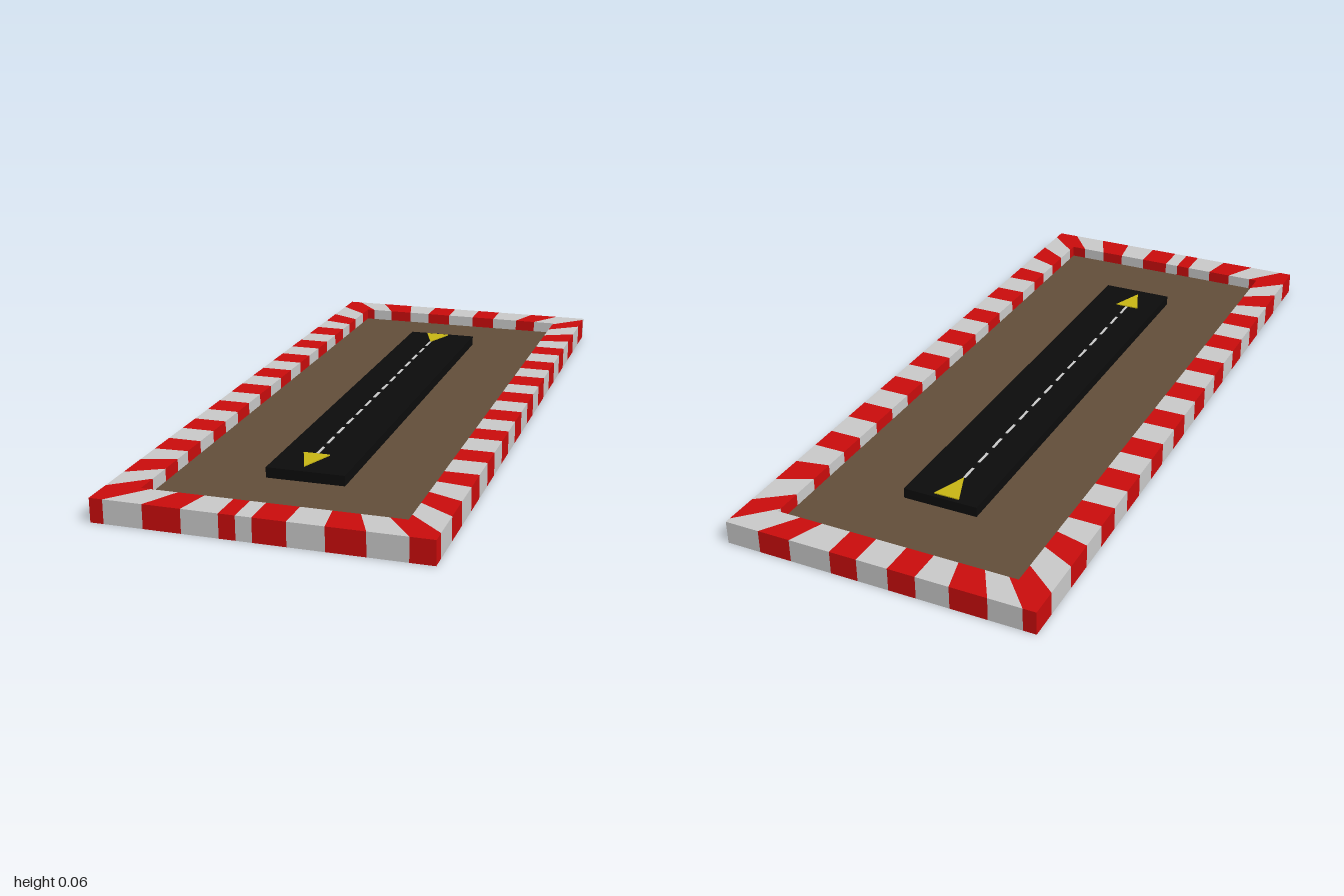
import * as THREE from 'three';

const W = 0.425, L = 1, IN_W = 0.335, IN_L = 0.907, H = 0.063;
const GROUND = 0.03, ROAD = 0.058;

const material = (name, color, side = THREE.FrontSide) => {
  const m = new THREE.MeshStandardMaterial({ color, side });
  m.name = name;
  return m;
};

// One striped kerb side: local x runs along it, +z points outward
function kerbGeometry(spans, half, innerHalf, depth, innerDepth, knot) {
  // stripes run straight in the middle and fan out to the mitred corners
  const inner = u => Math.abs(u) <= knot ? u
    : Math.sign(u) * (knot + (Math.abs(u) - knot) * (innerHalf - knot) / (half - knot));
  const pos = [];
  const quad = (a, b, c, d) => pos.push(...a, ...b, ...c, ...a, ...c, ...d);
  for (const [u0, u1] of spans) {
    const cuts = [u0, ...[-knot, knot].filter(k => k > u0 && k < u1), u1];
    for (let i = 0; i + 1 < cuts.length; i++) {
      const [a, b] = [cuts[i], cuts[i + 1]];
      const ring = y => [[a, y, depth], [b, y, depth], [inner(b), y, innerDepth], [inner(a), y, innerDepth]];
      const t = ring(H), f = ring(0);
      quad(t[0], t[1], t[2], t[3]);
      quad(f[3], f[2], f[1], f[0]);
      quad(f[0], f[1], t[1], t[0]);
      quad(f[2], f[3], t[3], t[2]);
    }
  }
  const g = new THREE.BufferGeometry();
  g.setAttribute('position', new THREE.Float32BufferAttribute(pos, 3));
  g.computeVertexNormals();
  return g;
}

// Spans left over between the red stripes
function gaps(reds, half) {
  const out = [];
  let u = -half;
  for (const [a, b] of reds) {
    if (a - u > 1e-4) out.push([u, a]);
    u = b;
  }
  if (half - u > 1e-4) out.push([u, half]);
  return out;
}

export function createModel() {
  const model = new THREE.Group();
  const red = material('kerbRed', 0xcb0c0c);
  const grey = material('lightGrey', 0xcacaca);
  const brown = material('earthBrown', 0x634e3a);
  const black = material('asphaltBlack', 0x0c0c0c);
  const yellow = material('arrowYellow', 0xc9b714);

  const add = (name, geometry, mat, x = 0, y = 0, z = 0, parent = model) => {
    const mesh = new THREE.Mesh(geometry, mat);
    mesh.name = name;
    mesh.position.set(x, y, z);
    parent.add(mesh);
    return mesh;
  };

  // Red and grey kerb around the plot
  const sides = [
    { name: 'frontKerb', turn: 0, long: false,
      reds: [[-0.425, -0.39], [-0.288, -0.19], [-0.095, -0.053], [-0.012, 0.072], [0.165, 0.263], [0.363, 0.425]] },
    { name: 'leftKerb', turn: Math.PI / 2, long: true,
      reds: [[-1, -0.96], [-0.86, -0.765], [-0.67, -0.585], [-0.497, -0.417], [-0.326, -0.246], [-0.16, -0.075],
        [0.01, 0.096], [0.176, 0.262], [0.348, 0.433], [0.52, 0.6], [0.69, 0.786], [0.89, 0.984]] },
    { name: 'backKerb', turn: Math.PI, long: false,
      reds: [[-0.33, -0.24], [-0.125, -0.05], [0.035, 0.11], [0.2, 0.3], [0.39, 0.425]] },
    { name: 'rightKerb', turn: -Math.PI / 2, long: true,
      reds: [[-1, -0.92], [-0.81, -0.717], [-0.627, -0.542], [-0.458, -0.373], [-0.288, -0.204], [-0.119, -0.034],
        [0.05, 0.135], [0.22, 0.304], [0.39, 0.473], [0.558, 0.643], [0.725, 0.82], [0.915, 1]] },
  ];
  for (const { name, turn, long, reds } of sides) {
    const size = long ? [L, IN_L, W, IN_W, 0.62] : [W, IN_W, L, IN_L, 0.12];
    const kerb = new THREE.Group();
    kerb.name = name;
    kerb.rotation.y = turn;
    add('redStripes', kerbGeometry(reds, ...size), red, 0, 0, 0, kerb);
    add('greyStripes', kerbGeometry(gaps(reds, size[0]), ...size), grey, 0, 0, 0, kerb);
    model.add(kerb);
  }

  // Earth floor and raised road strip
  add('ground', new THREE.BoxGeometry(IN_W * 2, 0.006, IN_L * 2), brown, 0, GROUND - 0.003, 0);
  add('road', new THREE.BoxGeometry(0.21, ROAD - GROUND, 1.355), black, 0, (ROAD + GROUND) / 2, -0.002);

  // Dashed centre line
  const lineX = -0.013, dashes = 14, first = -0.57, pitch = 0.082;
  const dash = new THREE.BoxGeometry(0.007, 0.002, 0.05);
  for (let i = 0; i < dashes; i++)
    add('centreDash', dash, grey, lineX, ROAD + 0.001, first + 0.025 + i * pitch);

  // Arrowheads at both ends, both pointing to the front
  const head = new THREE.Shape([
    new THREE.Vector2(-0.036, 0), new THREE.Vector2(0, -0.095), new THREE.Vector2(0.036, 0),
  ]);
  const arrow = new THREE.ExtrudeGeometry(head, { depth: 0.003, bevelEnabled: false });
  arrow.rotateX(-Math.PI / 2);
  add('backArrow', arrow, yellow, lineX, ROAD, -0.667);
  add('frontArrow', arrow, yellow, lineX, ROAD, 0.55);

  return model;
}
